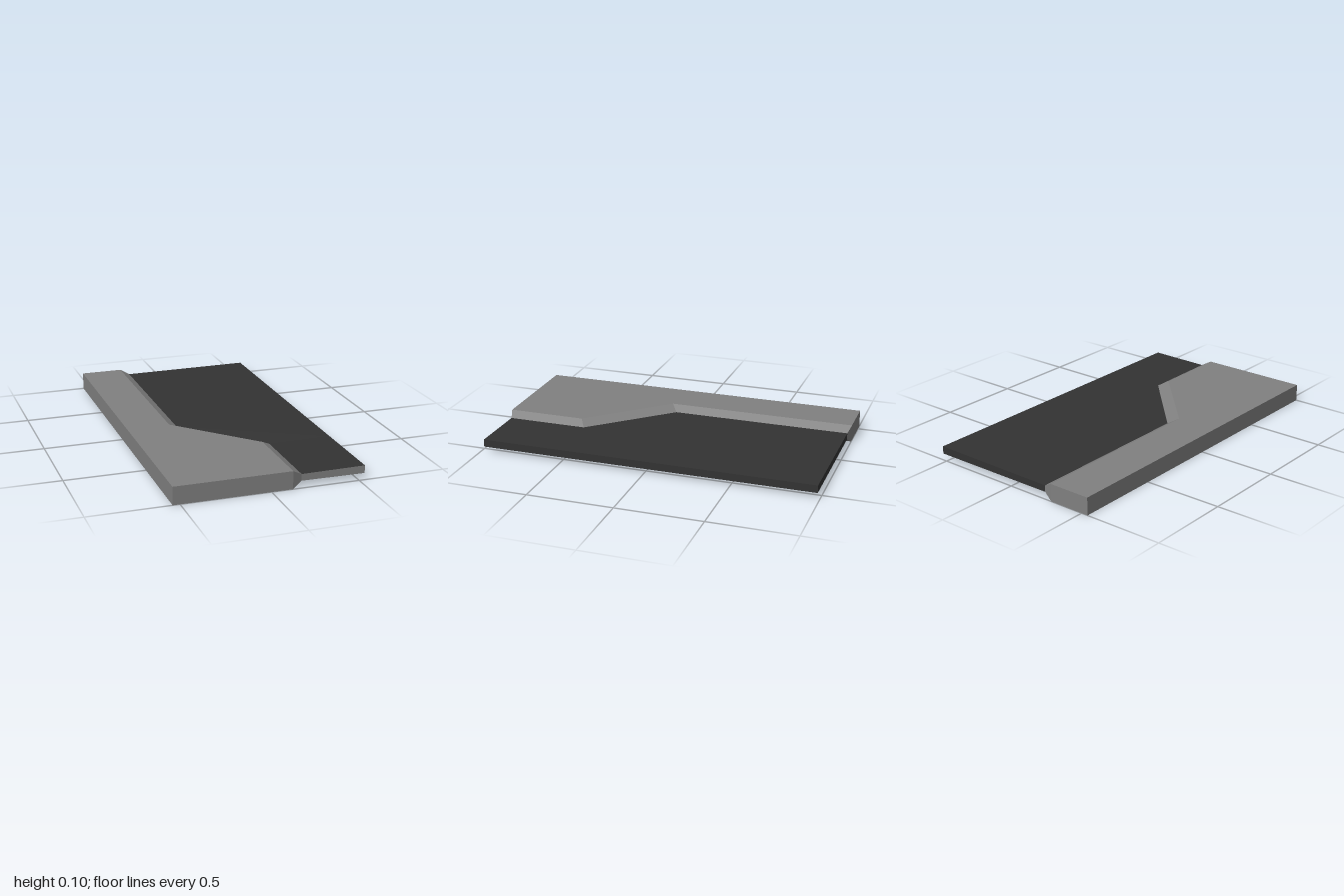
import * as THREE from 'three';

// Stations from back to front: ridge edge and thin lip of the frame, in plan
const stations = [
  { ridge: [-0.29, -1], lip: [-0.235, -0.985] },
  { ridge: [-0.29, 0.11], lip: [-0.235, 0.07] },
  { ridge: [0.12, 0.545], lip: [0.175, 0.51] },
  { ridge: [0.12, 1], lip: [0.175, 0.98] },
];
const SIDE = 0.54, TOP = 0.102, LIP_TOP = 0.071, LIP_BOTTOM = 0.033;

// Joins cross-sections into a closed solid; group 0 is the body, group 1 the front cap
function loft(sections, capQuads) {
  const pos = [];
  const quad = (a, b, c, d) => pos.push(...a, ...b, ...c, ...a, ...c, ...d);
  const n = sections[0].length;
  for (let i = 0; i < sections.length - 1; i++) {
    const s = sections[i], t = sections[i + 1];
    for (let k = 0; k < n; k++) {
      const m = (k + 1) % n;
      quad(s[k], t[k], t[m], s[m]);
    }
  }
  const first = sections[0], last = sections[sections.length - 1];
  capQuads.forEach((q) => quad(...q.map((k) => first[k])));
  const bodyCount = pos.length / 3;
  capQuads.forEach((q) => quad(...[...q].reverse().map((k) => last[k])));
  const geo = new THREE.BufferGeometry();
  geo.setAttribute('position', new THREE.Float32BufferAttribute(pos, 3));
  geo.addGroup(0, bodyCount, 0);
  geo.addGroup(bodyCount, pos.length / 3 - bodyCount, 1);
  geo.computeVertexNormals();
  return geo;
}

export function createModel() {
  const model = new THREE.Group();
  model.name = 'steppedPanel';
  const grey = new THREE.MeshStandardMaterial({ name: 'midGrey', color: 0x808080 });
  const dark = new THREE.MeshStandardMaterial({ name: 'darkGrey', color: 0x333333 });

  // Thick frame with a bevelled, stepped inner edge
  const frameSections = stations.map(({ ridge: [x, z], lip: [lx, lz] }) => [
    [-SIDE, TOP, z], [x, TOP, z], [lx, LIP_TOP, lz],
    [lx, LIP_BOTTOM, lz], [x, 0, z], [-SIDE, 0, z],
  ]);
  const frame = new THREE.Mesh(loft(frameSections, [[0, 1, 4, 5], [1, 2, 3, 4]]), [grey, grey]);
  frame.name = 'frame';

  // Thin dark panel fitted to the lip, with a grey front edge
  const panelSections = stations.map(({ lip: [x, z] }) => [
    [x, LIP_TOP, z], [SIDE, 0.074, z], [SIDE, 0.03, z], [x, LIP_BOTTOM, z],
  ]);
  const panel = new THREE.Mesh(loft(panelSections, [[0, 1, 2, 3]]), [dark, grey]);
  panel.name = 'panel';

  model.add(frame, panel);
  return model;
}
